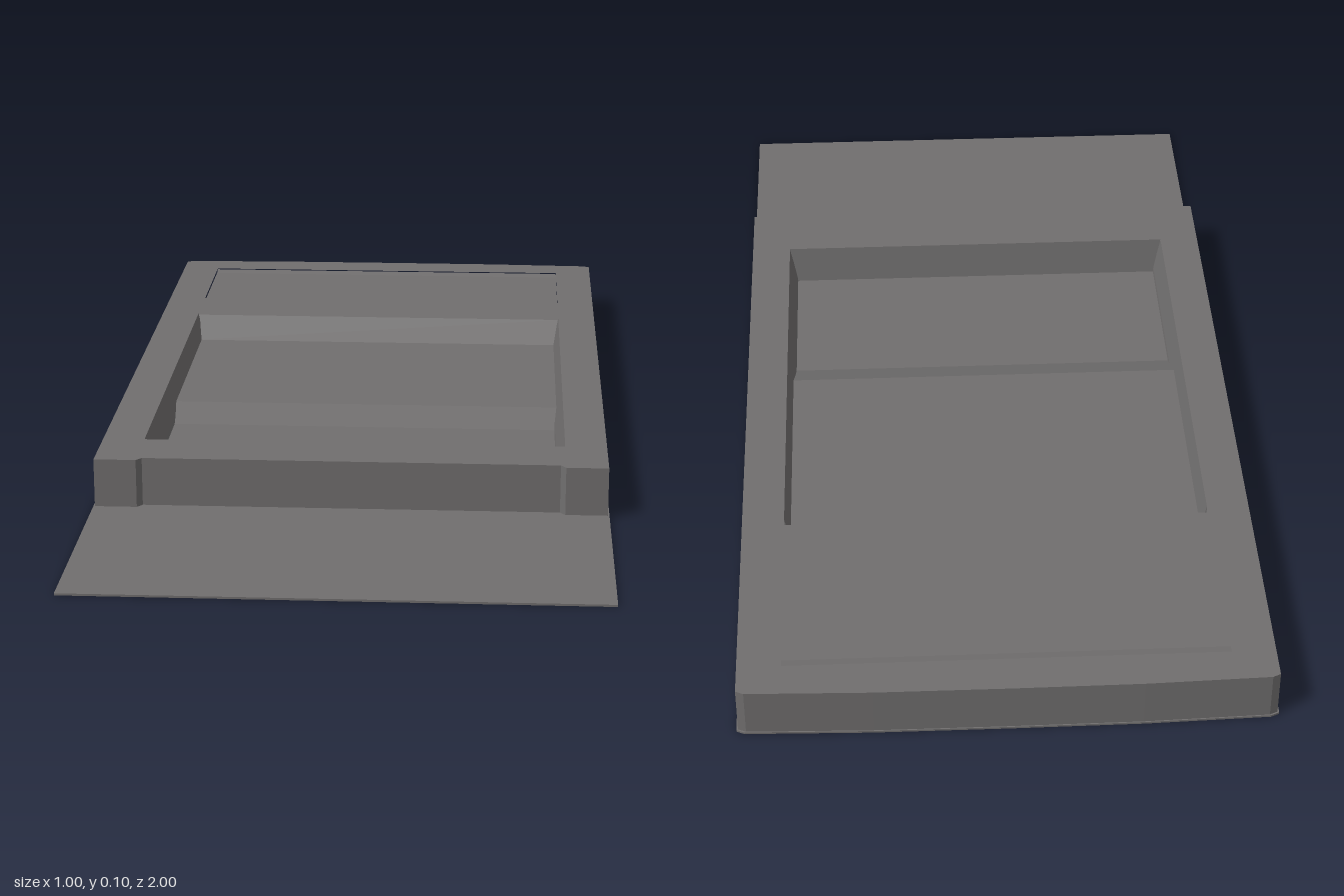
import * as THREE from 'three';

const shapeOf = (pts) => new THREE.Shape(pts.map(([a, b]) => new THREE.Vector2(a, b)));

// Extrude a plan drawn in (x, z) upward from y0 to y1
function slab(shape, y0, y1) {
  const g = new THREE.ExtrudeGeometry(shape, { depth: y1 - y0, bevelEnabled: false });
  g.rotateX(Math.PI / 2);
  g.translate(0, y1, 0);
  return g;
}

export function createModel() {
  const model = new THREE.Group();
  const grey = new THREE.MeshStandardMaterial({ color: 0x706e6e });
  grey.name = 'warm grey';
  const add = (name, geometry) => {
    const mesh = new THREE.Mesh(geometry, grey);
    mesh.name = name;
    model.add(mesh);
    return mesh;
  };

  const inner = 0.415, back = -0.92, front = 0.415;

  // Thin ground sheet, reaching out in front as an apron
  const outlineBack = [[0.5, -0.985], [0.485, -0.992], [0.25, -0.999], [0, -1],
    [-0.25, -0.999], [-0.485, -0.992], [-0.5, -0.985]];
  add('baseSheet', slab(shapeOf([[-0.5, 1], [0.5, 1], ...outlineBack]), 0, 0.004));

  // Raised rim with bowed back edge and slightly proud front corner blocks
  const rim = shapeOf([[-0.497, 0.543], [-0.415, 0.543], [-0.405, 0.53], [0.405, 0.53],
    [0.415, 0.543], [0.497, 0.543],
    ...outlineBack.map(([x, z]) => [x * 0.994, z * 0.998])]);
  rim.holes.push(new THREE.Path([[-inner, back], [-inner, front], [inner, front], [inner, back]]
    .map(([x, z]) => new THREE.Vector2(x, z))));
  add('rim', slab(rim, 0.004, 0.1));

  // Three stepped floors joined by slopes, profile in (z, y)
  const floor = new THREE.ExtrudeGeometry(shapeOf([
    [back, 0.004], [front, 0.004], [front, 0.098], [0.402, 0.02], [0.07, 0.02], [0.0, 0.048],
    [-0.47, 0.048], [-0.52, 0.094], [-0.9, 0.094], [back, 0.098],
  ]), { depth: inner * 2, bevelEnabled: false });
  floor.rotateY(-Math.PI / 2);
  floor.translate(inner, 0, 0);
  add('steppedFloors', floor);

  // Sloping side walls of the two sunken floors
  for (const side of [-1, 1]) {
    const pts = [[side * inner, 0.1], [side * inner, 0.01], [side * 0.399, 0.01], [side * 0.401, 0.03]];
    const wall = new THREE.ExtrudeGeometry(shapeOf(pts), { depth: 0.92, bevelEnabled: false });
    wall.translate(0, 0, -0.51);
    add(side > 0 ? 'leftInnerWall' : 'rightInnerWall', wall);
  }

  return model;
}
